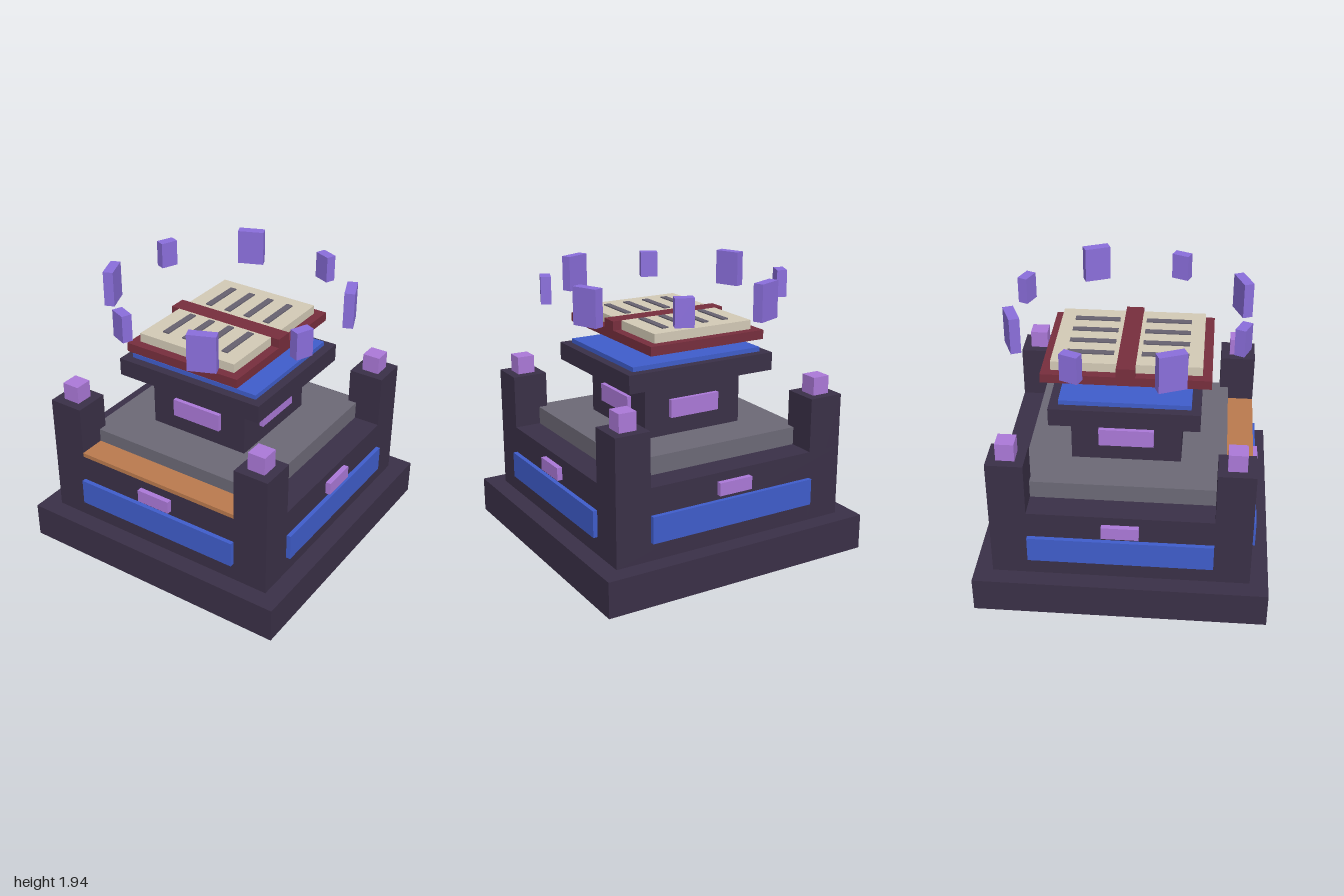
import * as THREE from 'three';

const mat = (name, color) => {
  const m = new THREE.MeshStandardMaterial({ color });
  m.name = name;
  return m;
};

export function createModel() {
  const stone = mat('dark stone', 0x3a3047);
  const blue = mat('blue panel', 0x3f5dcb);
  const violet = mat('violet rune', 0xab79d8);
  const shardViolet = mat('shard violet', 0x8a6edb);
  const grey = mat('grey slab', 0x6c6976);
  const copper = mat('copper', 0xba7a4e);
  const leather = mat('red leather', 0x772e3d);
  const paper = mat('paper', 0xd3cab6);
  const ink = mat('ink', 0x66616f);

  const model = new THREE.Group();
  model.name = 'bookAltar';

  // Box given by its size, centre x/z and bottom height
  const box = (name, material, w, h, d, x, y, z, parent = model) => {
    const mesh = new THREE.Mesh(new THREE.BoxGeometry(w, h, d), material);
    mesh.name = name;
    mesh.position.set(x, y + h / 2, z);
    parent.add(mesh);
    return mesh;
  };

  // Stepped base
  box('plinth', stone, 2, 0.25, 2, 0, 0, 0);
  box('body', stone, 1.75, 0.5, 1.75, 0, 0.25, 0);
  box('topSlab', grey, 1.375, 0.125, 1.375, 0, 0.75, 0);
  box('frontStep', copper, 1.25, 0.03, 0.1875, 0, 0.75, 0.78125);

  // Corner pillars with caps
  for (const sx of [-1, 1]) for (const sz of [-1, 1]) {
    box('cornerPillar', stone, 0.25, 0.875, 0.25, sx * 0.75, 0.25, sz * 0.75);
    box('pillarCap', violet, 0.125, 0.125, 0.125, sx * 0.75, 1.125, sz * 0.75);
  }

  // Panels and runes, repeated on the four sides
  for (let i = 0; i < 4; i++) {
    const side = new THREE.Group();
    side.name = 'sideTrim';
    side.rotation.y = i * Math.PI / 2;
    box('sidePanel', blue, 1.25, 0.185, 0.06, 0, 0.378, 0.876, side);
    box('sideRune', violet, 0.25, 0.09, 0.06, 0, 0.6, 0.882, side);
    box('columnRune', violet, 0.375, 0.125, 0.06, 0, 1, 0.375, side);
    model.add(side);
  }

  // Lectern column and table
  box('column', stone, 0.75, 0.375, 0.75, 0, 0.875, 0);
  box('tableTop', stone, 1.125, 0.125, 1, 0, 1.25, 0);
  box('tableCloth', blue, 1, 0.032, 0.875, 0, 1.375, 0);

  // Floating open book
  const book = new THREE.Group();
  book.name = 'book';
  model.add(book);
  box('cover', leather, 0.875, 0.0625, 1.125, 0, 1.5, 0, book);
  box('spine', leather, 0.875, 0.0625, 0.125, 0, 1.5625, 0, book);
  for (const s of [-1, 1]) {
    box('pages', paper, 0.75, 0.0625, 0.4375, 0, 1.5625, s * 0.28125, book);
    for (const x of [-0.235, -0.078, 0.078, 0.235])
      box('textLine', ink, 0.047, 0.008, 0.3125, x, 1.625, s * 0.248, book);
  }

  // Ring of floating shards, large and small in turn
  for (let i = 0; i < 8; i++) {
    const a = (i + 0.5) * Math.PI / 4;
    const [w, h] = i % 2 ? [0.125, 0.1875] : [0.1875, 0.25];
    const shard = box('shard', shardViolet, w, h, 0.07,
      Math.sin(a) * 0.8125, 1.8125 - h / 2, Math.cos(a) * 0.8125);
    shard.rotation.y = a;
  }

  return model;
}
